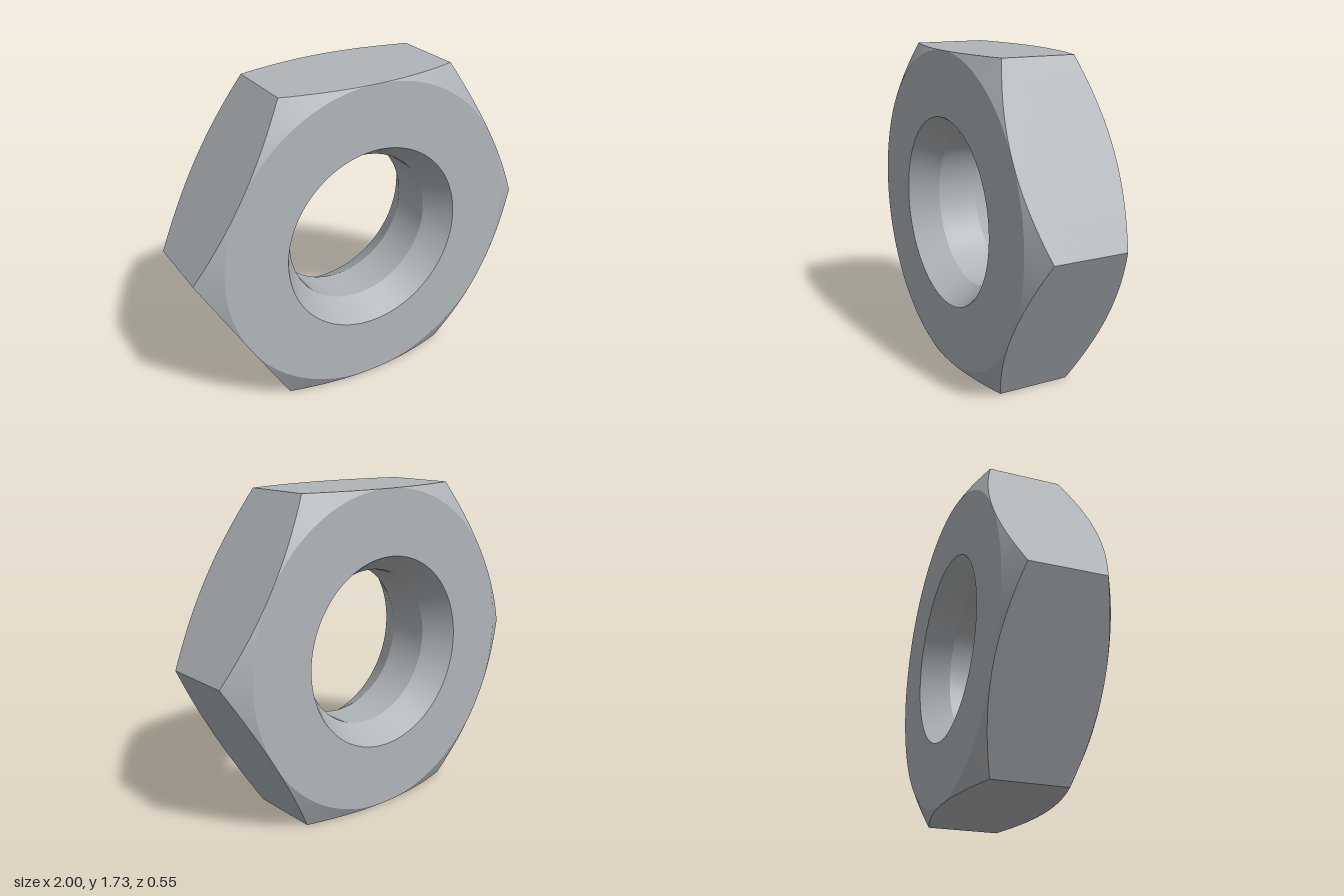
import * as THREE from 'three';

const APOTHEM = 0.866;      // centre to flat
const HALF = 0.277;         // half thickness
const BORE = 0.427;         // hole radius
const SINK = 0.518;         // countersink mouth radius
const BORE_HALF = HALF - (SINK - BORE) * Math.sqrt(3);
const SIDE = Math.PI / 3;
const STEPS = 24;           // segments per flat

const steel = new THREE.MeshStandardMaterial({ color: 0xb0b5b9 });
steel.name = 'steel grey';

// Radius of the hexagon at an angle, corners at 0, 60, 120...
const hexRadius = (a) => APOTHEM / Math.cos(a - (Math.floor(a / SIDE + 1e-6) + 0.5) * SIDE);
// Height of the 30 degree chamfer cone at a radius
const coneZ = (r) => HALF - (r - APOTHEM) / Math.sqrt(3);

// Ruled strip between two edges, each a function angle -> [radius, z];
// normal is a function angle -> [direction angle, radial part, z part]
function strip(name, from, to, inner, outer, normal) {
  const pos = [], nor = [], index = [];
  const count = Math.round((to - from) / SIDE) * STEPS;
  for (let i = 0; i <= count; i++) {
    const a = from + ((to - from) * i) / count;
    const [dir, nr, nz] = normal(a);
    for (const edge of [inner, outer]) {
      const [r, z] = edge(a);
      pos.push(r * Math.cos(a), r * Math.sin(a), z);
      nor.push(nr * Math.cos(dir), nr * Math.sin(dir), nz);
    }
    if (i < count) {
      const k = i * 2;
      index.push(k, k + 1, k + 3, k, k + 3, k + 2);
    }
  }
  const geo = new THREE.BufferGeometry();
  geo.setAttribute('position', new THREE.Float32BufferAttribute(pos, 3));
  geo.setAttribute('normal', new THREE.Float32BufferAttribute(nor, 3));
  geo.setIndex(index);
  const mesh = new THREE.Mesh(geo, steel);
  mesh.name = name;
  return mesh;
}

// One end of the nut: flat ring, corner chamfer and countersink
function createEnd(name) {
  const end = new THREE.Group();
  end.name = name;
  const full = Math.PI * 2;
  end.add(
    strip('faceRing', 0, full, () => [SINK, HALF], () => [APOTHEM, HALF], (a) => [a, 0, 1]),
    strip('cornerChamfer', 0, full, () => [APOTHEM, HALF],
      (a) => [hexRadius(a), coneZ(hexRadius(a))], (a) => [a, 0.5, Math.sqrt(0.75)]),
    strip('countersink', 0, full, () => [BORE, BORE_HALF], () => [SINK, HALF],
      (a) => [a, -Math.sqrt(0.75), 0.5])
  );
  return end;
}

export function createModel() {
  const nut = new THREE.Group();
  nut.name = 'hexNut';

  // Six side flats with curved edges where the chamfer cuts them
  for (let i = 0; i < 6; i++) {
    const mid = (i + 0.5) * SIDE;
    const radius = (a) => APOTHEM / Math.cos(a - mid);
    nut.add(strip('sideFlat' + (i + 1), i * SIDE, (i + 1) * SIDE,
      (a) => [radius(a), coneZ(radius(a))],
      (a) => [radius(a), -coneZ(radius(a))],
      () => [mid, 1, 0]));
  }

  // Straight part of the hole
  nut.add(strip('bore', 0, Math.PI * 2, () => [BORE, -BORE_HALF], () => [BORE, BORE_HALF],
    (a) => [a, -1, 0]));

  // Two matching ends
  const back = createEnd('backEnd');
  back.rotation.y = Math.PI;
  nut.add(createEnd('frontEnd'), back);

  nut.position.y = APOTHEM;
  const model = new THREE.Group();
  model.name = 'model';
  model.add(nut);
  return model;
}
